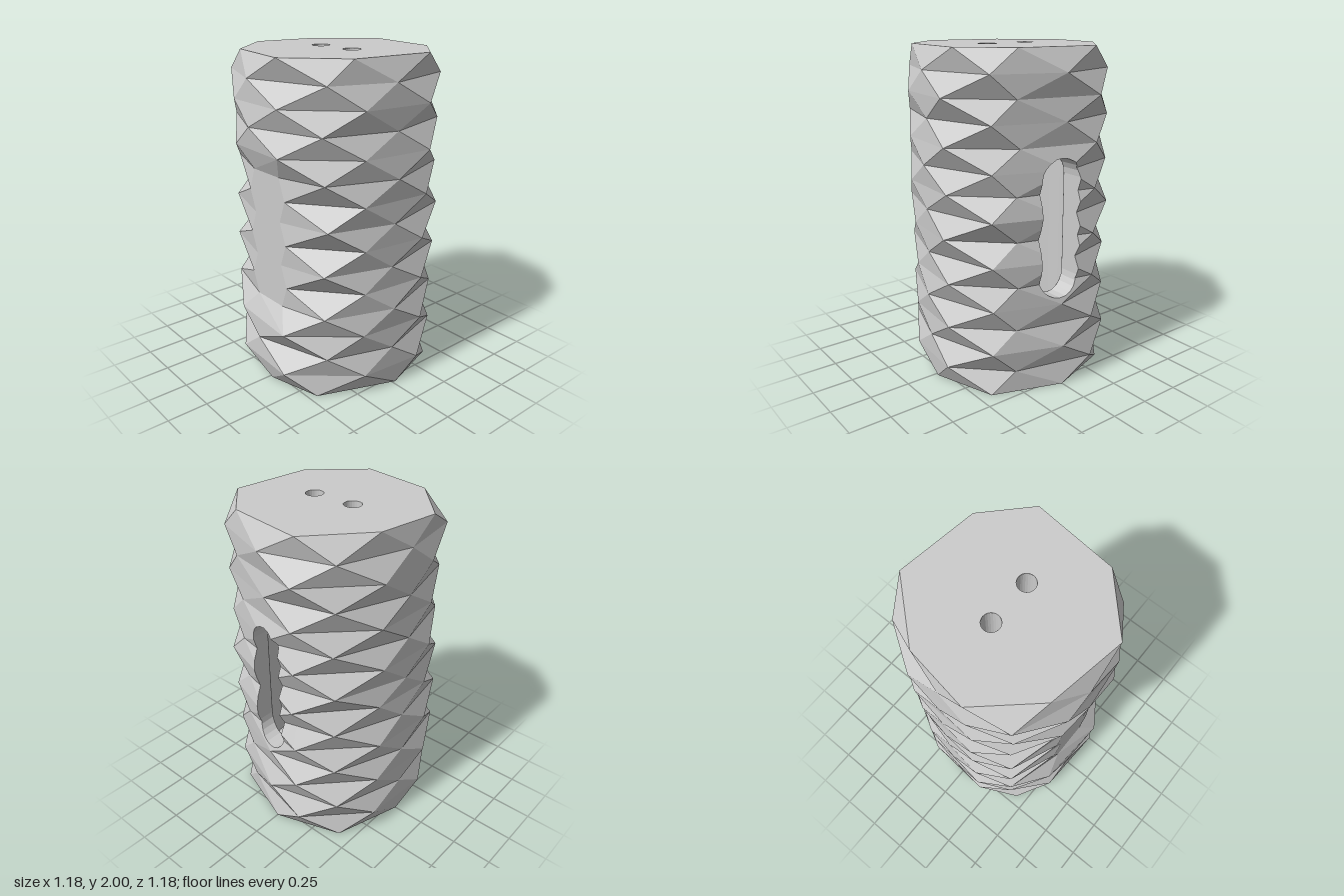
import * as THREE from 'three';

const STEP = 2 / 15, CHAMBER_R = 0.44, CHAMBER_Y = [0.2, 1.6];
const HOLE_X = [-0.14, 0.14], HOLE_R = 0.053;
const SLOT_X = 0.03, SLOT_R = 0.12;

// Plan outlines [x, z]: the two alternating ring types and the two end rings
const ODD = [[.53, .23], [.21, .59], [-.24, .57], [-.58, .19], [-.545, -.22], [-.2, -.585], [.28, -.47], [.58, -.19]];
const EVEN = [[.565, .03], [.43, .43], [-.06, .585], [-.48, .41], [-.565, -.02], [-.41, -.45], [.02, -.575], [.43, -.44]];
const TOP = [[.48, .28], [.18, .56], [-.28, .48], [-.56, .17], [-.5, -.21], [-.21, -.54], [.28, -.47], [.53, -.23]];
const BOTTOM = [[.55, -.02], [.36, .45], [.02, .54], [-.44, .43], [-.545, 0], [-.41, -.42], [0, -.56], [.42, -.41]];

const noise = (a, b) => {
  const s = Math.sin(a * 12.9 + b * 78.2) * 43758.5;
  return (s - Math.floor(s) - 0.5) * 0.03;
};

// One ring of nine points; the front point (or its neighbour) is doubled so the grip can be flat
function ring(i) {
  const odd = i % 2 === 1, end = i === 0 || i === 15;
  const base = i === 0 ? BOTTOM : i === 15 ? TOP : odd ? ODD : EVEN;
  const flat = i >= 4 && i <= 10;
  const pts = base.map(([x, z], k) => {
    const p = new THREE.Vector3(x, i * STEP, z);
    if (!end) { p.x += noise(i, k); p.z += noise(i + 20, k); }
    if (flat && odd && (k === 1 || k === 2)) { p.x = k === 1 ? 0.17 : -0.17; p.z = 0.52; }
    return p;
  });
  const k = odd ? 1 : 2;
  pts.splice(k, 0, pts[k].clone());
  if (flat && !odd) {
    pts[2].set(0.12, i * STEP, 0.52);
    pts[3].set(-0.12, i * STEP, 0.52);
  }
  return pts;
}

// Convex capsule outline of the slot, counter-clockwise in x, y
const slot = [];
for (const [cy, start] of [[1.28, 0], [0.69, Math.PI]]) {
  for (let k = 0; k <= 10; k++) {
    const a = start + k * Math.PI / 10;
    slot.push([SLOT_X + SLOT_R * Math.cos(a), cy + SLOT_R * Math.sin(a)]);
  }
}

// Split a polygon by the line a-b: [outside, inside]
function split(poly, a, b) {
  const side = p => (b[0] - a[0]) * (p.y - a[1]) - (b[1] - a[1]) * (p.x - a[0]);
  const out = [], inn = [];
  poly.forEach((p, i) => {
    const q = poly[(i + 1) % poly.length], sp = side(p), sq = side(q);
    (sp < 0 ? out : inn).push(p);
    if (sp < 0 !== sq < 0) {
      const m = p.clone().lerp(q, sp / (sp - sq));
      out.push(m);
      inn.push(m);
    }
  });
  return [out, inn];
}

// Remove the slot from triangles at the back; onInside receives the pieces cut away
function cutSlot(tris, onInside = () => {}) {
  const result = [];
  for (const tri of tris) {
    if (tri.some(p => p.z > -0.2)) { result.push(tri); continue; }
    let rest = tri;
    const pieces = [];
    for (let k = 0; k < slot.length && rest.length > 2; k++) {
      const [out, inn] = split(rest, slot[k], slot[(k + 1) % slot.length]);
      if (out.length > 2) pieces.push(out);
      rest = inn;
    }
    if (rest.length < 3) { result.push(tri); continue; }
    onInside(rest);
    for (const p of pieces) for (let k = 1; k < p.length - 1; k++) result.push([p[0], p[k], p[k + 1]]);
  }
  return result;
}

function fromTris(tris) {
  const g = new THREE.BufferGeometry().setFromPoints(tris.flat());
  g.computeVertexNormals();
  return g;
}

// Horizontal face from a plan outline, with optional string holes
function plate(points, y, holes) {
  const shape = new THREE.Shape(points.map(([x, z]) => new THREE.Vector2(x, -z)));
  if (holes) for (const x of HOLE_X) shape.holes.push(new THREE.Path().absarc(x, 0, HOLE_R, 0, Math.PI * 2, true));
  return new THREE.ShapeGeometry(shape, 16).rotateX(-Math.PI / 2).translate(0, y, 0);
}

export function createModel() {
  const group = new THREE.Group();
  const faceted = new THREE.MeshStandardMaterial({ color: 0xcccccc, flatShading: true });
  const thin = new THREE.MeshStandardMaterial({ color: 0xcccccc, flatShading: true, side: THREE.DoubleSide });
  const add = (name, geometry, material = thin) => {
    const mesh = new THREE.Mesh(geometry, material);
    mesh.name = name;
    group.add(mesh);
  };

  // Faceted shell: staggered rings joined by triangles
  const shell = [];
  const push = (a, b, c) => {
    if (!a.equals(b) && !b.equals(c) && !c.equals(a)) shell.push([a, b, c]);
  };
  for (let i = 0; i < 15; i++) {
    const up = i % 2 === 0;
    const o = ring(up ? i : i + 1), e = ring(up ? i + 1 : i);
    for (let j = 0; j < 9; j++) {
      const n = (j + 1) % 9;
      if (up) { push(o[n], o[j], e[j]); push(e[j], e[n], o[n]); }
      else { push(o[j], o[n], e[j]); push(e[n], e[j], o[n]); }
    }
  }

  // Slot sides run from the cut edge of the shell in to the chamber
  const sides = [];
  const inner = p => new THREE.Vector3(p.x, p.y, -Math.sqrt(CHAMBER_R ** 2 - p.x ** 2));
  const onEdge = (p, q) => slot.some((a, k) => {
    const b = slot[(k + 1) % slot.length], len = Math.hypot(b[0] - a[0], b[1] - a[1]);
    return len > 1e-6 && [p, q].every(v =>
      Math.abs((b[0] - a[0]) * (v.y - a[1]) - (b[1] - a[1]) * (v.x - a[0])) / len < 1e-6);
  });
  const body = cutSlot(shell, poly => poly.forEach((p, i) => {
    const q = poly[(i + 1) % poly.length];
    if (onEdge(p, q)) sides.push([p, q, inner(q)], [p, inner(q), inner(p)]);
  }));
  add('facetedShell', fromTris(body), faceted);
  add('slotSides', fromTris(sides));

  // Inner chamber
  const [y0, y1] = CHAMBER_Y;
  const pos = new THREE.CylinderGeometry(CHAMBER_R, CHAMBER_R, y1 - y0, 32, 1, true)
    .translate(0, (y0 + y1) / 2, 0).toNonIndexed().attributes.position;
  const wall = [];
  for (let i = 0; i < pos.count; i += 3) {
    wall.push([0, 1, 2].map(k => new THREE.Vector3().fromBufferAttribute(pos, i + k)));
  }
  add('chamberWall', fromTris(cutSlot(wall)));
  const circle = Array.from({ length: 32 }, (_, k) =>
    [CHAMBER_R * Math.sin(k * Math.PI / 16), CHAMBER_R * Math.cos(k * Math.PI / 16)]);
  add('chamberFloor', plate(circle, y0));
  add('chamberCeiling', plate(circle, y1, true));

  // End faces and string holes
  add('topFace', plate(TOP, 2, true));
  add('bottomFace', plate(BOTTOM, 0));
  for (const x of HOLE_X) {
    add('stringHole', new THREE.CylinderGeometry(HOLE_R, HOLE_R, 2 - y1, 24, 1, true).translate(x, (2 + y1) / 2, 0));
  }
  return group;
}
